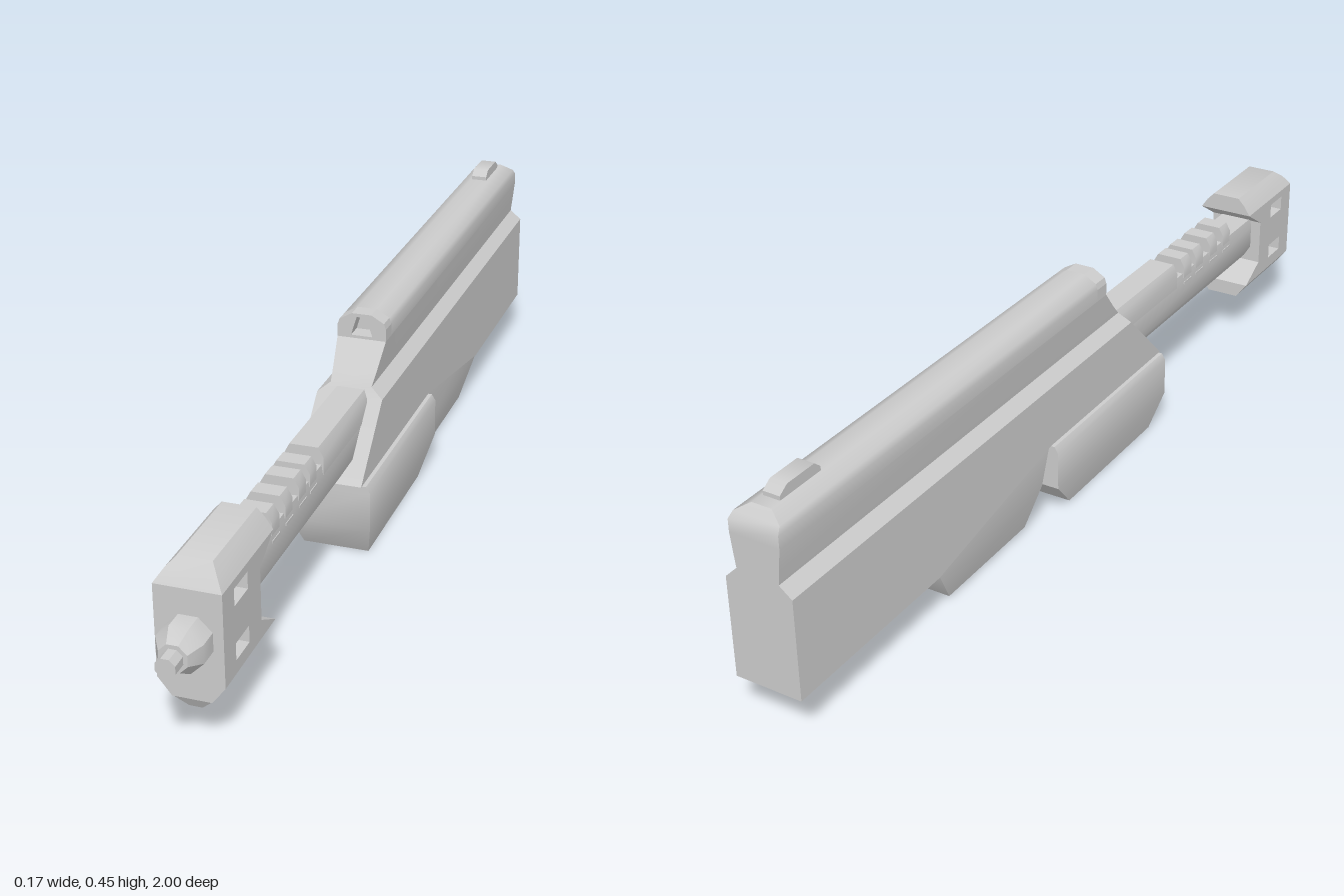
import * as THREE from 'three';
import { toCreasedNormals } from 'three/addons/utils/BufferGeometryUtils.js';

const material = new THREE.MeshStandardMaterial({ color: 0xcccccc, side: THREE.DoubleSide });

// Loft of rectangles stacked upwards; each layer is [y, halfWidth, zFront, zBack]
function stack(layers, crease = 0.75) {
  const pos = [], index = [];
  for (const [y, w, f, b] of layers) pos.push(w, y, f, w, y, b, -w, y, b, -w, y, f);
  for (let k = 0; k < layers.length - 1; k++) {
    for (let i = 0; i < 4; i++) {
      const a = k * 4 + i, b = k * 4 + (i + 1) % 4;
      index.push(a, b, b + 4, a, b + 4, a + 4);
    }
  }
  const t = (layers.length - 1) * 4;
  index.push(0, 2, 1, 0, 3, 2, t, t + 1, t + 2, t, t + 2, t + 3);
  const g = new THREE.BufferGeometry();
  g.setAttribute('position', new THREE.Float32BufferAttribute(pos, 3));
  g.setIndex(index);
  return toCreasedNormals(g, crease);
}

const points = list => list.map(([a, b]) => new THREE.Vector2(a, b));

function extrude(outline, holes, depth) {
  const shape = new THREE.Shape(points(outline));
  for (const h of holes) shape.holes.push(new THREE.Path(points(h)));
  return new THREE.ExtrudeGeometry(shape, { depth, bevelEnabled: false });
}

const rect = (z0, z1, y0, y1) => [[z0, y0], [z0, y1], [z1, y1], [z1, y0]];

export function createModel() {
  const model = new THREE.Group();
  const add = (name, geometry) => {
    const mesh = new THREE.Mesh(geometry, material);
    mesh.name = name;
    model.add(mesh);
    return mesh;
  };

  // Receiver: wide slab, waist groove and rail in one loft
  add('receiver', stack([
    [0.09, 0.067, -0.6, -1], [0.163, 0.067, -0.21, -1], [0.163, 0.067, 0.24, -1],
    [0.29, 0.067, 0.11, -1], [0.31, 0.042, 0.1, -1], [0.335, 0.045, 0.075, -1],
    [0.38, 0.05, 0.035, -1], [0.38, 0.05, 0, -1], [0.405, 0.05, 0, -1],
    [0.417, 0.046, 0, -0.99], [0.432, 0.02, 0, -0.975],
  ]));

  // Rail mouth with a trapezoid recess
  add('railMouth', extrude(
    [[-0.05, 0.38], [0.05, 0.38], [0.05, 0.405], [0.046, 0.417], [0.02, 0.432],
      [-0.02, 0.432], [-0.046, 0.417], [-0.05, 0.405]],
    [[[-0.022, 0.386], [-0.01, 0.425], [0.01, 0.425], [0.022, 0.386]]], 0.035));

  add('rearSight', stack([
    [0.425, 0.017, -0.845, -0.95], [0.44, 0.017, -0.845, -0.95], [0.453, 0.017, -0.86, -0.93],
  ]));

  // Underside pods
  add('rearPod', stack([
    [0.006, 0.045, -0.275, -0.54], [0.09, 0.066, -0.243, -0.597], [0.163, 0.066, -0.215, -0.597],
  ]));
  add('foregrip', stack([
    [0, 0.067, 0.195, -0.14], [0.07, 0.083, 0.235, -0.21],
    [0.15, 0.083, 0.235, -0.21], [0.163, 0.075, 0.235, -0.21],
  ]));

  // Barrel with its raised rear block, teeth and side slots
  add('barrel', stack([
    [0.175, 0.022, 0.75, 0], [0.2, 0.037, 0.75, 0], [0.25, 0.037, 0.75, 0], [0.27, 0.034, 0.75, 0],
  ]));
  add('barrelBlock', stack([
    [0.25, 0.038, 0.37, 0], [0.285, 0.038, 0.37, 0], [0.304, 0.028, 0.37, 0],
  ]));
  for (const z of [0.612, 0.547, 0.478, 0.422]) {
    add('barrelTooth', stack([
      [0.26, 0.037, z + 0.018, z - 0.018], [0.285, 0.037, z + 0.018, z - 0.018],
      [0.303, 0.027, z + 0.018, z - 0.018],
    ]));
    add('barrelSlot', new THREE.BoxGeometry(0.077, 0.005, 0.036)).position.set(0, 0.248, z);
  }

  // Muzzle housing: slab with side windows and a notched back
  const housing = extrude(
    [[0.906, 0.13], [0.906, 0.305], [0.682, 0.305], [0.745, 0.265], [0.745, 0.165], [0.682, 0.13]],
    [rect(0.8, 0.858, 0.257, 0.289), rect(0.8, 0.858, 0.155, 0.187)], 0.12);
  housing.translate(0, 0, -0.06).rotateY(-Math.PI / 2);
  add('muzzleHousing', housing);
  add('muzzleTop', stack([
    [0.305, 0.06, 0.906, 0.682], [0.326, 0.046, 0.89, 0.682], [0.342, 0.031, 0.87, 0.682],
  ]));
  add('muzzleBottom', stack([[0.098, 0.035, 0.906, 0.682], [0.13, 0.06, 0.906, 0.682]]));
  add('muzzleLug', stack([[0.075, 0.012, 0.892, 0.88], [0.1, 0.036, 0.906, 0.87]]));

  // Octagonal nozzle and tip
  const nozzle = new THREE.LatheGeometry(points([
    [0, 0.9], [0.045, 0.9], [0.045, 0.943], [0.027, 0.97], [0.019, 0.97], [0.019, 1], [0, 1],
  ]), 8);
  nozzle.rotateX(Math.PI / 2).rotateZ(Math.PI / 8).translate(0, 0.215, 0);
  add('nozzle', toCreasedNormals(nozzle, 0.6));

  return model;
}
